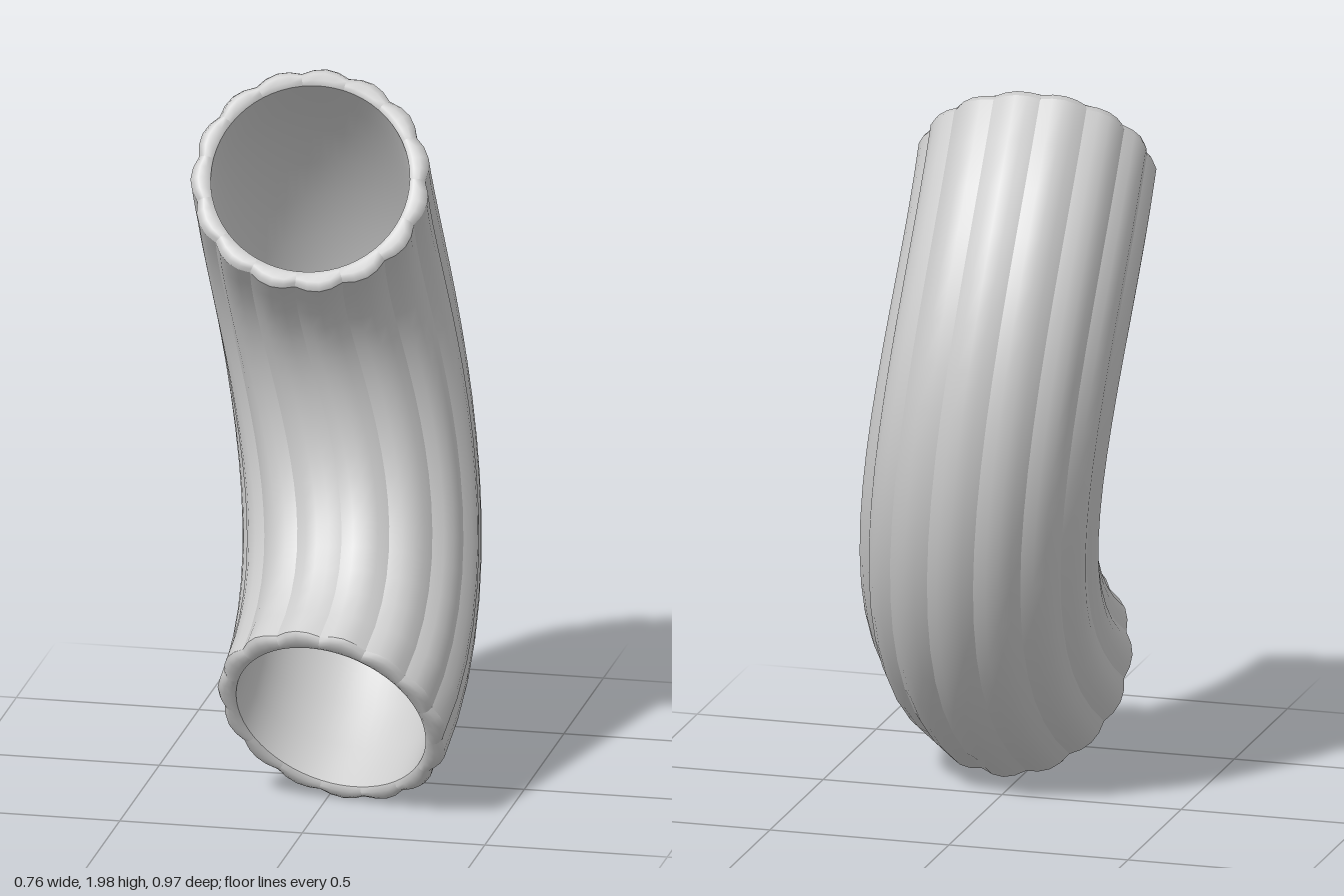
import * as THREE from 'three';
import { mergeGeometries } from 'three/addons/utils/BufferGeometryUtils.js';

const RIBS = 15, RIB_STEPS = 4, RINGS = 18;
const OUTER = 0.322, INNER = 0.267, GROOVE = 0.014;
const BEVEL = 0.01; // rim depth as a fraction of the path

// Centre line of the bent tube, from the lower mouth to the upper one
const path = new THREE.CubicBezierCurve3(
  new THREE.Vector3(0.04, 0.285, 0.335),
  new THREE.Vector3(0.13, 0.61, -0.244),
  new THREE.Vector3(-0.13, 1.34, -0.345),
  new THREE.Vector3(-0.05, 1.75, 0.17)
);

// Point at path position t, angle a and radius r around the centre line
function tubePoint(t, a, r) {
  const along = path.getTangent(t);
  const side = new THREE.Vector3(1, 0, 0).addScaledVector(along, -along.x).normalize();
  const back = new THREE.Vector3().crossVectors(along, side);
  return path.getPoint(t)
    .addScaledVector(side, Math.cos(a) * r)
    .addScaledVector(back, Math.sin(a) * r);
}

// Grid of cells; wrap joins the last column to the first
function grid(columns, rows, point, wrap = false) {
  const positions = [], index = [];
  const width = wrap ? columns : columns + 1;
  for (let j = 0; j <= rows; j++)
    for (let i = 0; i < width; i++) positions.push(...point(i / columns, j).toArray());
  for (let j = 0; j < rows; j++)
    for (let i = 0; i < columns; i++) {
      const n = (i + 1) % width;
      const a = j * width + i, b = j * width + n;
      index.push(a, b, b + width, a, b + width, a + width);
    }
  const geometry = new THREE.BufferGeometry();
  geometry.setAttribute('position', new THREE.Float32BufferAttribute(positions, 3));
  geometry.setIndex(index);
  geometry.computeVertexNormals();
  return geometry;
}

// Rounded strips that meet in sharp grooves; profile rows are [t, radius, groove strength]
function ribbed(profile) {
  const strips = [];
  const step = (Math.PI * 2) / RIBS;
  for (let k = 0; k < RIBS; k++) {
    const start = Math.PI / 2 + (k - 0.5) * step;
    strips.push(grid(RIB_STEPS, profile.length - 1, (u, j) => {
      const [t, r, strength] = profile[j];
      const dip = GROOVE * strength * (1 - Math.sin(Math.PI * u));
      return tubePoint(t, start + u * step, r - dip);
    }));
  }
  return mergeGeometries(strips);
}

export function createModel() {
  const group = new THREE.Group();
  group.name = 'ribbedElbowTube';
  const material = new THREE.MeshStandardMaterial({ color: 0xcccccc });
  const add = (name, geometry) => {
    const mesh = new THREE.Mesh(geometry, material);
    mesh.name = name;
    group.add(mesh);
  };

  // Ribbed outer wall
  const wall = [];
  for (let j = 0; j <= RINGS; j++) wall.push([BEVEL + (1 - 2 * BEVEL) * j / RINGS, OUTER, 1]);
  add('outerWall', ribbed(wall));

  // Softened rims closing the wall thickness at both mouths
  const rim = (end) => [
    [Math.abs(end - BEVEL), OUTER, 1],
    [Math.abs(end - BEVEL * 0.3), OUTER - 0.008, 1],
    [end, OUTER - 0.022, 0.7],
    [end, INNER + 0.012, 0.1],
    [Math.abs(end - BEVEL * 0.4), INNER, 0]
  ];
  add('upperRim', ribbed(rim(1)));
  add('lowerRim', ribbed(rim(0).reverse()));

  // Smooth inner lining, facing the hollow
  const inset = BEVEL * 0.4;
  add('innerLining', grid(RIBS * RIB_STEPS, RINGS, (u, j) => {
    const t = 1 - inset - (1 - 2 * inset) * j / RINGS;
    return tubePoint(t, Math.PI / 2 + (u * RIBS - 0.5) * Math.PI * 2 / RIBS, INNER);
  }, true));

  return group;
}
